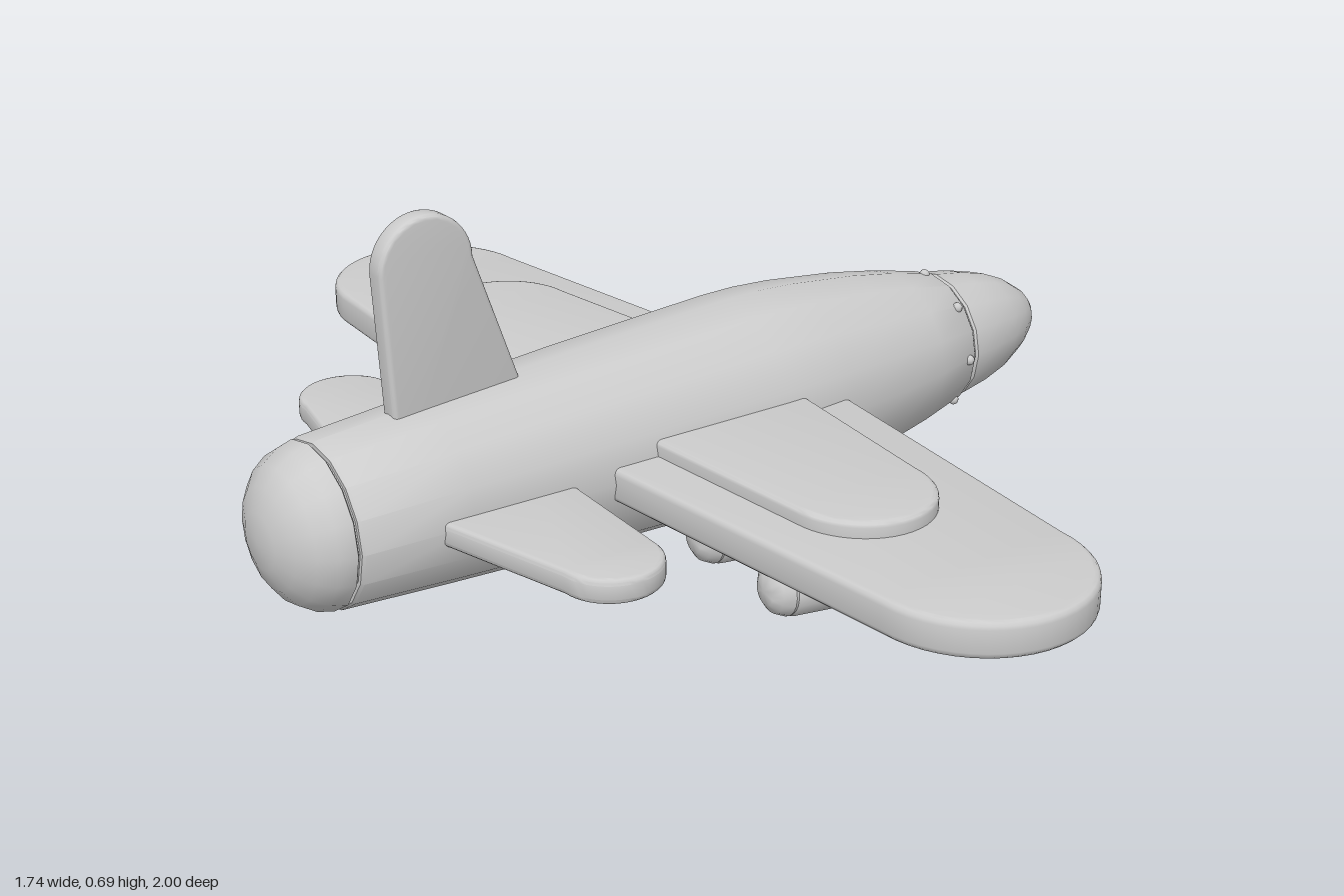
import * as THREE from 'three';
import { toCreasedNormals } from 'three/addons/utils/BufferGeometryUtils.js';

const grey = new THREE.MeshStandardMaterial({ color: 0xcccccc });
const AXIS_Y = 0.203;

function part(name, geometry) {
  const mesh = new THREE.Mesh(geometry, grey);
  mesh.name = name;
  return mesh;
}

// Body of revolution along +x; profile is a list of [x, radius] from tail to nose
function turned(profile, sides) {
  const points = profile.map(([x, r]) => new THREE.Vector2(r, x));
  const geometry = new THREE.LatheGeometry(points, sides).rotateZ(-Math.PI / 2);
  return toCreasedNormals(geometry, 0.6);
}

// Tapered plate with a rounded tip; each edge is [x at root, x at shoulder]
function plate([back0, back1], [front0, front1], root, shoulder, tip, thickness, bevel) {
  const mid = (back1 + front1) / 2;
  const k = 0.55;
  const rise = (tip - shoulder) * k;
  const shape = new THREE.Shape();
  shape.moveTo(back0, root);
  shape.lineTo(front0, root);
  shape.lineTo(front1, shoulder);
  shape.bezierCurveTo(front1, shoulder + rise, mid + (front1 - mid) * k, tip, mid, tip);
  shape.bezierCurveTo(mid + (back1 - mid) * k, tip, back1, shoulder + rise, back1, shoulder);
  shape.closePath();
  const geometry = new THREE.ExtrudeGeometry(shape, {
    depth: thickness - 2 * bevel, curveSegments: 12,
    bevelThickness: bevel, bevelSize: bevel, bevelOffset: -bevel, bevelSegments: 3,
  });
  geometry.translate(0, 0, bevel - thickness / 2);
  return toCreasedNormals(geometry, 0.6);
}

export function createModel() {
  const model = new THREE.Group();
  model.name = 'airplane';

  // Fuselage in three turned sections with narrow grooves between them
  const sections = {
    tailCap: [[-0.87, 0], [-0.864, 0.05], [-0.848, 0.09], [-0.825, 0.12], [-0.795, 0.139],
      [-0.765, 0.147], [-0.762, 0.143], [-0.762, 0]],
    fuselage: [[-0.765, 0], [-0.765, 0.138], [-0.757, 0.138], [-0.757, 0.145], [-0.752, 0.149],
      [-0.55, 0.163], [-0.25, 0.181], [0, 0.192], [0.1, 0.196], [0.17, 0.196], [0.25, 0.191],
      [0.4, 0.173], [0.5, 0.155], [0.6, 0.132], [0.604, 0.128], [0.604, 0.12], [0.615, 0.12], [0.615, 0]],
    noseCone: [[0.61, 0], [0.61, 0.123], [0.614, 0.127], [0.68, 0.116], [0.74, 0.1],
      [0.79, 0.078], [0.83, 0.051], [0.855, 0.024], [0.866, 0]],
  };
  for (const [name, profile] of Object.entries(sections)) {
    const mesh = part(name, turned(profile, 16));
    mesh.position.y = AXIS_Y;
    model.add(mesh);
  }

  // Rivets around the front of the fuselage
  const rivets = new THREE.Group();
  rivets.name = 'rivets';
  for (let i = 0; i < 8; i++) {
    const a = i * Math.PI / 4;
    const rivet = part('rivet', new THREE.SphereGeometry(0.01, 10, 8));
    rivet.position.set(0.583, AXIS_Y + 0.134 * Math.cos(a), 0.134 * Math.sin(a));
    rivets.add(rivet);
  }
  model.add(rivets);

  // Wings, raised wing panels and tailplanes, turned to either side
  const surfaces = [
    ['wing', plate([-0.293, -0.228], [0.262, 0.165], 0, 0.8, 1, 0.064, 0.012), 0.2],
    ['wingPanel', plate([-0.2, -0.166], [0.162, 0.098], 0, 0.52, 0.658, 0.06, 0.01), 0.23],
    ['tailplane', plate([-0.645, -0.548], [-0.34, -0.368], 0, 0.41, 0.5, 0.044, 0.01), 0.198],
  ];
  for (const [name, geometry, y] of surfaces) {
    for (const side of [1, -1]) {
      const mesh = part(side > 0 ? name + 'PlusZ' : name + 'MinusZ', geometry);
      mesh.rotation.x = side * Math.PI / 2;
      mesh.position.y = y;
      model.add(mesh);
    }
  }

  // Upright fin
  model.add(part('tailFin', plate([-0.605, -0.628], [-0.32, -0.448], 0.25, 0.61, 0.7, 0.04, 0.008)));

  // Slightly toed-out pods under the wings: x of tail end, z of tail end, z of tip
  const podBody = turned([[0, 0], [0.004, 0.025], [0.015, 0.041], [0.035, 0.05], [0.04, 0.049],
    [0.045, 0.052], [0.14, 0.057], [0.25, 0.058], [0.35, 0.055], [0.415, 0.049],
    [0.42, 0.045], [0.42, 0]], 20);
  const podNose = turned([[0.415, 0], [0.415, 0.048], [0.42, 0.053], [0.432, 0.053],
    [0.47, 0.044], [0.505, 0.029], [0.53, 0.014], [0.54, 0]], 20);
  const pods = [[-0.212, 0.495, 0.56], [-0.19, 0.273, 0.337],
    [-0.19, -0.238, -0.32], [-0.212, -0.458, -0.543]];
  for (const [x, z, tipZ] of pods) {
    const pod = new THREE.Group();
    pod.name = 'wingPod';
    pod.add(part('podBody', podBody), part('podNose', podNose));
    pod.position.set(x, 0.112, z);
    pod.rotation.set(0, -Math.atan2(tipZ - z, 0.54), -0.02);
    model.add(pod);
  }
  return model;
}
